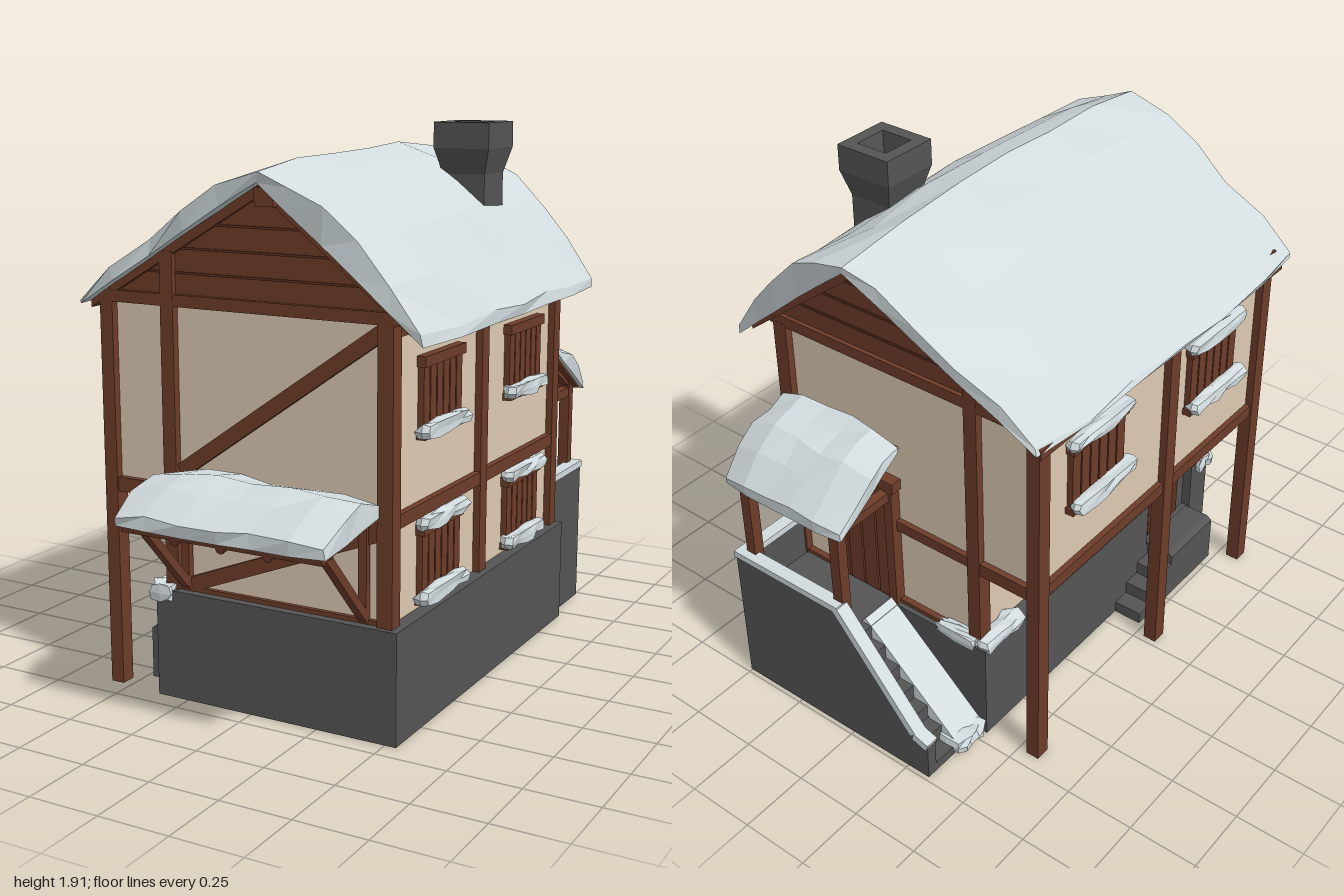
import * as THREE from 'three';

const mat = (name, color) => {
  const m = new THREE.MeshStandardMaterial({ color, flatShading: true });
  m.name = name;
  return m;
};

export function createModel() {
  const house = new THREE.Group();
  house.name = 'snowyHouse';
  const snow = mat('snow', 0xd2dcdf);
  const plaster = mat('plaster', 0xdecbb3);
  const wood = mat('wood', 0x6e3d29);
  const darkWood = mat('darkWood', 0x5b3020);
  const stone = mat('stone', 0x555555);

  const add = (name, geo, material) => {
    const m = new THREE.Mesh(geo, material);
    m.name = name;
    house.add(m);
    return m;
  };
  // box given by its ranges
  const box = (name, material, x0, x1, y0, y1, z0, z1) => {
    const m = add(name, new THREE.BoxGeometry(x1 - x0, y1 - y0, z1 - z0), material);
    m.position.set((x0 + x1) / 2, (y0 + y1) / 2, (z0 + z1) / 2);
    return m;
  };
  // square bar between two points
  const beam = (name, material, a, b, w, h = w) => {
    const p = new THREE.Vector3(...a), q = new THREE.Vector3(...b);
    const m = add(name, new THREE.BoxGeometry(w, h, p.distanceTo(q)), material);
    m.position.copy(p).lerp(q, 0.5);
    m.lookAt(q);
    return m;
  };
  // prism from an x-y outline
  const prism = (name, material, pts, z0, z1) => {
    const shape = new THREE.Shape(pts.map(p => new THREE.Vector2(...p)));
    const m = add(name, new THREE.ExtrudeGeometry(shape, { depth: z1 - z0, bevelEnabled: false }), material);
    m.position.z = z0;
    return m;
  };
  const rnd = (a, b, c) => {
    const s = Math.sin(a * 127.1 + b * 311.7 + c * 74.7 + 3.3) * 43758.5;
    return s - Math.floor(s) - 0.5;
  };
  // thick uneven sheet: f(u, v, top) with u, v in -1..1
  const sheet = (name, nu, nv, amp, f) => {
    const geo = new THREE.BoxGeometry(2, 1, 2, nu, 1, nv);
    const p = geo.attributes.position;
    for (let i = 0; i < p.count; i++) {
      const u = Math.round(p.getX(i) * 100) / 100, v = Math.round(p.getZ(i) * 100) / 100;
      const top = p.getY(i) > 0;
      const [x, y, z] = f(u, v, top);
      const k = top ? amp : amp * 0.2;
      p.setXYZ(i, x + k * rnd(u, v, 1), y + k * rnd(u, v, 2), z + k * rnd(u, v, 3));
    }
    return add(name, geo, snow);
  };
  // small rounded heap of snow
  const lump = (name, cx, cy, cz, w, h, d) => {
    const geo = new THREE.BoxGeometry(w, h, d, 2, 2, 5);
    const p = geo.attributes.position;
    for (let i = 0; i < p.count; i++) {
      const a = p.getX(i) / w * 2, b = p.getY(i) / h * 2, c = p.getZ(i) / d * 2;
      const k = 1 - 0.1 * (a * a + b * b + c * c);
      const r = 1 + 0.5 * rnd(Math.round(a * 9), Math.round(b * 9), Math.round(c * 9 + cz * 50));
      p.setXYZ(i, p.getX(i) * k * r, p.getY(i) * k * r, p.getZ(i) * (1 - 0.06 * (a * a + b * b)));
    }
    add(name, geo, snow).position.set(cx, cy, cz);
  };
  const lerpTable = (t, x) => {
    let i = 0;
    while (i < t.length - 2 && x > t[i + 1][0]) i++;
    const [a, b] = [t[i], t[i + 1]];
    return a[1] + (b[1] - a[1]) * (x - a[0]) / (b[0] - a[0]);
  };

  // stone foundation ring, open below, with a recess for the cellar door
  box('baseFront', stone, -0.37, 0.54, 0.01, 0.39, 0.62, 0.68);
  box('baseBack', stone, -0.37, 0.54, 0.01, 0.39, -0.71, -0.65);
  box('baseRight', stone, 0.48, 0.54, 0.01, 0.39, -0.65, 0.62);
  box('baseLeft', stone, -0.37, -0.3, 0.01, 0.39, -0.65, 0.27);
  box('baseLeftFront', stone, -0.37, -0.3, 0.01, 0.39, 0.57, 0.62);
  box('cellarThreshold', stone, -0.37, -0.3, 0.01, 0.2, 0.27, 0.57);

  // plastered storeys, the lower one hollow
  box('lowerWallFront', plaster, -0.31, 0.49, 0.385, 0.73, 0.615, 0.635);
  box('lowerWallBack', plaster, -0.31, 0.49, 0.385, 0.73, -0.67, -0.65);
  box('lowerWallRight', plaster, 0.47, 0.49, 0.385, 0.73, -0.65, 0.615);
  box('lowerWallLeft', plaster, -0.31, -0.29, 0.385, 0.73, -0.65, 0.615);
  box('upperWalls', plaster, -0.555, 0.49, 0.73, 1.36, -0.67, 0.635);

  // timber frame
  for (const z of [0.635, -0.02, -0.67]) {
    const zl = z === -0.02 ? 0.05 : z;
    box('sidePost', wood, 0.46, 0.515, 0.39, 1.36, z - 0.0275, z + 0.0275);
    box('overhangPost', wood, -0.583, -0.533, 0.01, 1.36, zl - 0.0275, zl + 0.0275);
    box('innerPost', wood, -0.34, -0.29, 0.39, zl === 0.05 ? 0.74 : 1.53, zl - 0.0275, zl + 0.0275);
    box('floorJoist', wood, -0.56, -0.31, 0.7, 0.75, zl - 0.022, zl + 0.022);
  }
  for (const z of [0.635, -0.67]) {
    box('floorBeam', wood, -0.56, 0.5, 0.71, 0.75, z - 0.02, z + 0.02);
    box('eaveBeam', wood, -0.59, 0.53, 1.35, 1.39, z - 0.027, z + 0.027);
    box('groundBeam', wood, -0.32, 0.5, 0.385, 0.405, z - 0.022, z + 0.015);
    prism('gable', wood, [[-0.58, 1.38], [0.54, 1.38], [0.05, 1.75]], z - 0.012, z + 0.008);
    // gaps between gable planks
    [[1.46, -0.45, 0.43], [1.54, -0.32, 0.33], [1.62, -0.19, 0.23]].forEach(([y, a, b]) =>
      box('plankGap', darkWood, a, b, y - 0.004, y + 0.004, z - 0.016, z + 0.012));
    box('ridgeEnd', wood, 0.04, 0.11, 1.69, 1.75, z - 0.05, z + 0.05);
  }
  for (const [x, name] of [[0.495, 'right'], [-0.558, 'left']]) {
    box(name + 'FloorBeam', wood, x - 0.018, x + 0.018, 0.705, 0.75, -0.67, 0.635);
    box(name + 'TopBeam', wood, x - 0.018, x + 0.018, 1.31, 1.36, -0.67, 0.635);
  }
  beam('upperBrace', wood, [-0.28, 0.8, 0.637], [0.48, 1.335, 0.637], 0.03, 0.05);
  beam('lowerBrace', wood, [-0.28, 0.4, 0.637], [0.48, 0.7, 0.637], 0.03, 0.05);

  // shuttered windows, s = +1 right wall, -1 left wall
  const windowAt = (s, x, y, z, topSnow) => {
    const b = (name, m, d0, d1, y0, y1, z0, z1) =>
      box(name, m, Math.min(x + s * d0, x + s * d1), Math.max(x + s * d0, x + s * d1), y + y0, y + y1, z + z0, z + z1);
    b('shutterBack', darkWood, 0, 0.012, 0.02, 0.25, -0.14, 0.14);
    for (let i = 0; i < 6; i++) {
      const c = (i - 2.5) * 0.048;
      b('shutterPlank', wood, 0, 0.022, 0.02, 0.25, c - 0.021, c + 0.021);
    }
    b('windowLintel', wood, 0, 0.032, 0.235, 0.27, -0.15, 0.15);
    b('windowSill', wood, 0, 0.032, 0, 0.025, -0.15, 0.15);
    lump('sillSnow', x + s * 0.035, y + 0.032, z + 0.015, 0.06, 0.055, 0.34);
    if (topSnow) lump('lintelSnow', x + s * 0.028, y + 0.275, z, 0.06, 0.05, 0.34);
  };
  for (const z of [0.305, -0.375]) {
    windowAt(1, 0.49, 0.955, z, false);
    windowAt(1, 0.49, 0.405, z, true);
    windowAt(-1, -0.555, 0.96, z, true);
  }

  // roof boards and the snow on them
  const deck = [[-0.66, 1.335], [0.05, 1.765], [0.65, 1.295]];
  const boardTop = [[-0.62, 1.36], [0.05, 1.76], [0.57, 1.36]];
  prism('roofBoards', wood, [...boardTop.map(([x, y]) => [x, y - 0.035]), ...boardTop.reverse()], -0.74, 0.66);
  const roofTop = [[-0.65, 1.355], [-0.6, 1.41], [-0.45, 1.52], [-0.2, 1.7], [-0.03, 1.815], [0.05, 1.84],
    [0.16, 1.795], [0.32, 1.7], [0.48, 1.54], [0.6, 1.4], [0.65, 1.325]];
  const ridgeLine = [[-0.83, -0.04], [-0.55, -0.01], [-0.2, 0.015], [0.1, 0], [0.55, -0.01], [0.72, -0.04]];
  sheet('roofSnow', 10, 6, 0.03, (u, v, top) => {
    const span = u < 0 ? 0.69 : 0.59;
    const corner = Math.abs(v) === 1 ? 0.97 : 1;
    const x = 0.05 + u * (u < 0 ? span : 0.595 + 0.015 * v) * corner;
    const ridge = 1 - Math.abs(u);
    const z = v < 0 ? -0.02 + v * (0.74 + 0.07 * ridge) : -0.02 + v * (0.735 - 0.025 * ridge);
    const drop = lerpTable(ridgeLine, z) * Math.min(1, ridge * 1.3);
    const p = 0.05 + u * span;
    return [x, top ? lerpTable(roofTop, p) + drop : lerpTable(deck, p), z];
  });

  // flared square chimney with an open flue
  const flue = [[0.08, 1.45], [0.08, 1.74], [0.105, 1.83], [0.105, 1.92], [0.06, 1.92], [0.055, 1.75]];
  const chimney = add('chimney', new THREE.LatheGeometry(
    flue.map(([r, y]) => new THREE.Vector2(r * Math.SQRT2, y)), 4, Math.PI / 4), stone);
  chimney.position.set(0.315, 0, -0.33);
  box('flueSnow', snow, 0.25, 0.38, 1.745, 1.755, -0.395, -0.265);

  // front awning
  beam('awningBoards', wood, [0.075, 0.745, 0.65], [0.075, 0.685, 0.97], 0.73, 0.022);
  box('awningBeam', wood, -0.28, 0.43, 0.675, 0.7, 0.88, 0.91);
  for (const x of [-0.26, 0.41]) {
    beam('awningBrace', wood, [x, 0.69, 0.91], [x, 0.42, 0.66], 0.03);
    box('awningWallPost', wood, x - 0.015, x + 0.015, 0.4, 0.74, 0.64, 0.665);
  }
  for (const x of [-0.09, 0.08, 0.25]) {
    const r = add('awningRafter', new THREE.CylinderGeometry(0.017, 0.017, 0.3, 8), wood);
    r.position.set(x, 0.7, 0.82);
    r.rotation.x = Math.PI / 2 + 0.19;
  }
  sheet('awningSnow', 6, 3, 0.022, (u, v, top) => {
    const e = Math.abs(u) === 1 ? 0.02 : 0;
    const z = 0.825 + v * (0.17 - e * 0.6);
    const y = lerpTable([[0.65, 0.81], [0.77, 0.835], [0.88, 0.81], [1, 0.74]], z) - e;
    return [0.08 + u * 0.39 * (v === 1 ? 0.98 : 1), top ? y : 0.75 - (z - 0.66) * 0.16, z];
  });

  // back porch: platform, parapets and steps
  box('porchPlatform', stone, 0.02, 0.48, 0.01, 0.39, -0.95, -0.7);
  prism('stairParapet', stone, [[-0.34, 0.01], [0.505, 0.01], [0.505, 0.55], [0.04, 0.55], [-0.28, 0.17], [-0.34, 0.15]], -0.985, -0.945);
  box('porchParapet', stone, 0.465, 0.505, 0.01, 0.55, -0.95, -0.7);
  for (let i = 0; i < 6; i++) {
    const x = 0.02 - i * 0.06;
    box('backStep', stone, x - 0.06, x, 0.01, 0.335 - i * 0.058, -0.945, -0.71);
  }
  beam('stairSnow', snow, [0.06, 0.395, -0.775], [-0.34, 0.035, -0.775], 0.14, 0.045);
  box('parapetSnow', snow, 0.03, 0.51, 0.545, 0.57, -0.99, -0.94);
  box('sideParapetSnow', snow, 0.46, 0.51, 0.545, 0.57, -0.95, -0.7);
  beam('slopeSnow', snow, [0.04, 0.555, -0.965], [-0.28, 0.175, -0.965], 0.05, 0.03);
  beam('railEndSnow', snow, [-0.28, 0.17, -0.965], [-0.34, 0.15, -0.965], 0.05, 0.03);

  // back door
  box('backDoor', darkWood, 0.04, 0.31, 0.39, 0.88, -0.69, -0.66);
  for (let i = 0; i < 4; i++) box('doorPlank', wood, 0.045 + i * 0.067, 0.105 + i * 0.067, 0.4, 0.87, -0.7, -0.68);
  for (const x of [0.02, 0.3]) box('doorJamb', wood, x, x + 0.035, 0.39, 0.91, -0.71, -0.66);
  box('doorLintel', wood, 0.01, 0.345, 0.88, 0.92, -0.712, -0.66);

  // porch roof
  for (const x of [0.05, 0.455]) {
    box('porchPost', wood, x - 0.02, x + 0.02, 0.39, 0.9, -0.96, -0.92);
    box('porchTie', wood, x - 0.018, x + 0.018, 0.84, 0.875, -0.96, -0.68);
    beam('porchRafter', wood, [x, 1.04, -0.68], [x, 0.87, -0.97], 0.03);
  }
  box('porchFrontBeam', wood, 0.03, 0.475, 0.86, 0.9, -0.96, -0.92);
  beam('porchRoofBoards', wood, [0.25, 1.06, -0.68], [0.25, 0.875, -0.97], 0.49, 0.018);
  sheet('porchRoofSnow', 5, 4, 0.02, (u, v, top) => {
    const e = Math.abs(u) === 1 ? 0.025 : 0;
    const z = -0.84 + v * (0.15 - e * 0.3);
    const y = lerpTable([[-1, 0.89], [-0.93, 0.975], [-0.84, 1.05], [-0.69, 1.1]], z) - e;
    return [0.25 + u * 0.26, top ? y : 0.86 + (z + 0.99) * 0.66, z];
  });

  // cellar entrance under the overhang: arch, door, landing and steps
  const arch = (r, h) => {
    const pts = [[-r, 0], [r, 0]];
    for (let i = 0; i <= 8; i++) pts.push([r * Math.cos(i * Math.PI / 8), h + r * Math.sin(i * Math.PI / 8)]);
    return pts;
  };
  const frame = prism('cellarArch', stone, arch(0.15, 0.36), 0, 0.085);
  frame.rotation.y = -Math.PI / 2;
  frame.position.set(-0.25, 0.19, 0.42);
  const door = prism('cellarDoor', darkWood, arch(0.1, 0.35), 0, 0.006);
  door.rotation.y = -Math.PI / 2;
  door.position.set(-0.334, 0.2, 0.42);
  prism('cellarLanding', stone, [[-0.48, 0.01], [-0.36, 0.01], [-0.36, 0.205], [-0.46, 0.205], [-0.48, 0.19]], 0.28, 0.56);
  for (let i = 0; i < 3; i++)
    box('cellarStep', stone, -0.48, -0.36, 0.01, 0.155 - i * 0.05, 0.28 - (i + 1) * 0.07, 0.28 - i * 0.07);

  // snow caught on the foundation ledges
  lump('ledgeSnowFront', -0.345, 0.38, 0.65, 0.1, 0.07, 0.1);
  lump('ledgeSnowBack', -0.345, 0.4, -0.6, 0.08, 0.06, 0.22);
  lump('ledgeSnowCorner', -0.24, 0.4, -0.695, 0.2, 0.05, 0.06);
  lump('stairFootSnow', -0.31, 0.045, -0.78, 0.14, 0.06, 0.16);

  return house;
}
